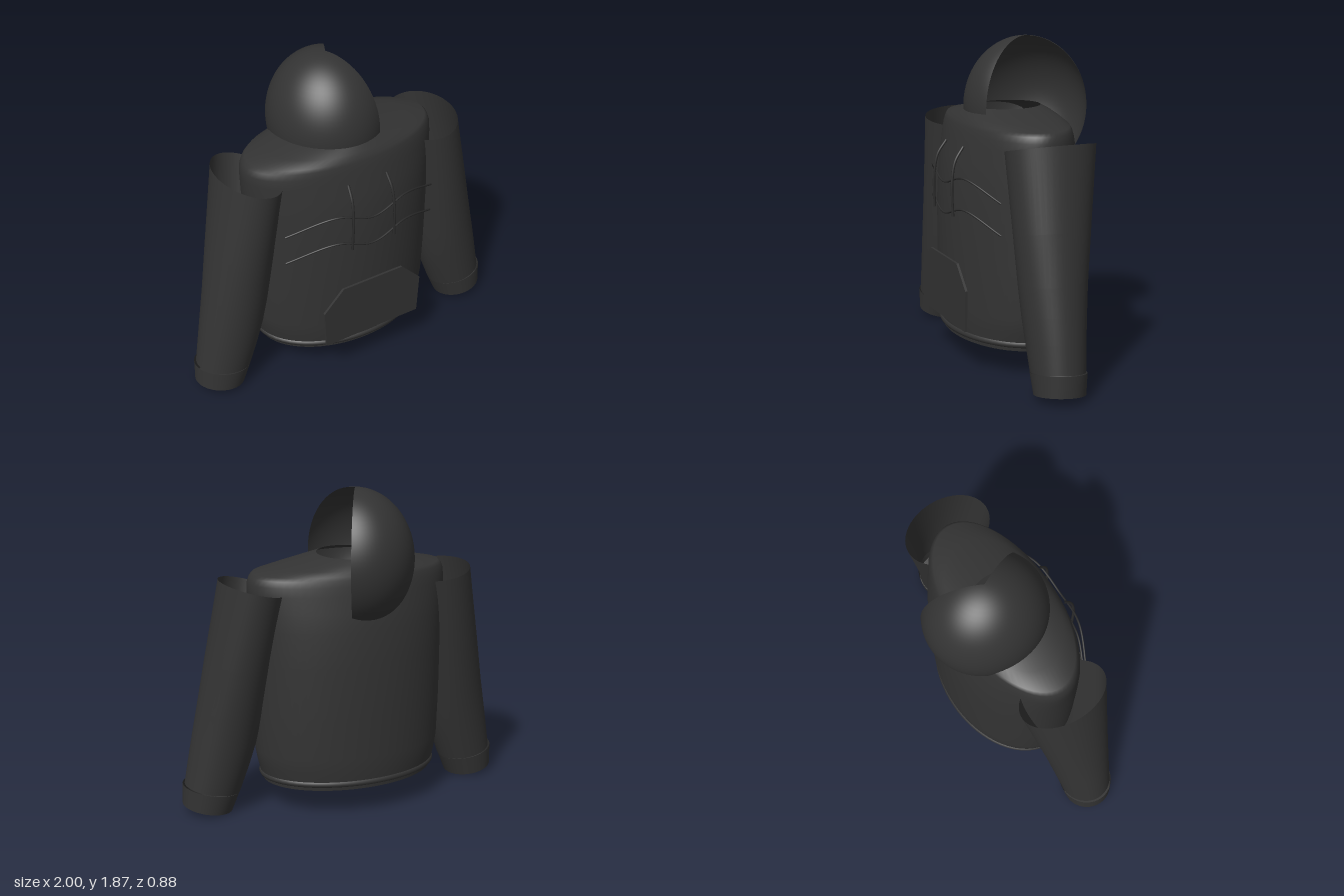
import * as THREE from 'three';

const fabric = new THREE.MeshStandardMaterial({ color: 0x333333, side: THREE.DoubleSide });
fabric.name = 'charcoal fabric';
const trim = new THREE.MeshStandardMaterial({ color: 0x2b2b2b });
trim.name = 'dark trim';

function add(parent, name, geometry, material) {
  const mesh = new THREE.Mesh(geometry, material);
  mesh.name = name;
  parent.add(mesh);
  return mesh;
}

// Skin over elliptical rings, listed bottom to top:
// [cx, cy, cz, radiusX, radiusZ, slopeX, slopeZ]; the slopes tilt a ring.
function loft(rings, sides = 48) {
  const pos = [], index = [];
  rings.forEach(([cx, cy, cz, a, b, sx = 0, sz = 0], r) => {
    for (let i = 0; i < sides; i++) {
      const t = (i / sides) * Math.PI * 2;
      const x = a * Math.cos(t), z = b * Math.sin(t);
      pos.push(cx + x, cy + sx * x + sz * z, cz + z);
      if (r === rings.length - 1) continue;
      const p = r * sides + i, q = r * sides + (i + 1) % sides;
      index.push(p, p + sides, q, q, p + sides, q + sides);
    }
  });
  const g = new THREE.BufferGeometry();
  g.setAttribute('position', new THREE.Float32BufferAttribute(pos, 3));
  g.setIndex(index);
  g.computeVertexNormals();
  return g;
}

function cord(points, radius, closed = false) {
  const curve = new THREE.CatmullRomCurve3(points.map(p => new THREE.Vector3(...p)), closed);
  return new THREE.TubeGeometry(curve, 64, radius, 8, closed);
}

export function createModel() {
  const model = new THREE.Group();
  model.name = 'hoodedJacket';
  const cz = 0.037;

  // Torso, open at the hem and the neck
  const torso = [
    [0.19, 0.53, 0.36], [0.27, 0.55, 0.37], [0.35, 0.565, 0.372], [0.6, 0.575, 0.373],
    [0.9, 0.58, 0.371], [1.1, 0.59, 0.355], [1.2, 0.597, 0.338], [1.3, 0.604, 0.318],
    [1.35, 0.602, 0.307], [1.385, 0.59, 0.297], [1.405, 0.57, 0.288],
    [1.43, 0.44, 0.27], [1.455, 0.3, 0.243], [1.48, 0.172, 0.2],
  ].map(([y, a, b]) => [0, y, cz, a, b]);
  add(model, 'torso', loft(torso, 64), fabric);

  // Hem band with a rolled edge
  add(model, 'hemBand', loft([[0, 0.16, cz, 0.518, 0.35], [0, 0.2, cz, 0.524, 0.354]], 64), fabric);
  const hemPath = Array.from({ length: 24 }, (_, i) => {
    const t = (i / 24) * Math.PI * 2;
    return [0.523 * Math.cos(t), 0.2, cz + 0.353 * Math.sin(t)];
  });
  add(model, 'hemRoll', cord(hemPath, 0.02, true), fabric);

  // Hood: part of an ellipsoid with its opening toward +x
  const arc = Math.PI * 1.32;
  const hood = add(model, 'hood',
    new THREE.SphereGeometry(1, 48, 32, -arc / 2, arc, 0, Math.PI * 0.82), fabric);
  hood.scale.set(0.335, 0.403, 0.36);
  hood.position.set(0, 1.47, -0.08);

  // Sleeves: open at the shoulder, closed at the cuff
  for (const side of [1, -1]) {
    const sleeve = new THREE.Group();
    sleeve.name = side > 0 ? 'leftSleeve' : 'rightSleeve';
    const mirror = rings => rings.map(([x, y, z, a, b, sx, sz]) => [x * side, y, z, a, b, sx * side, sz]);
    add(sleeve, 'arm', loft(mirror([
      [0.823, 0.145, 0.108, 0.162, 0.15, 0.18, 0.08],
      [0.782, 0.3, 0.102, 0.176, 0.163, 0.19, 0.07],
      [0.748, 0.44, 0.096, 0.184, 0.176, 0.2, 0.06],
      [0.715, 0.6, 0.088, 0.186, 0.19, 0.2, 0.04],
      [0.665, 0.88, 0.07, 0.184, 0.217, 0.21, 0.02],
      [0.585, 1.33, 0.042, 0.175, 0.262, 0.23, 0],
    ])), fabric);
    const end = [0.855, 0.028, 0.112, 0.145, 0.143, 0.17, 0.08];
    add(sleeve, 'cuff', loft(mirror([end, [0.83, 0.145, 0.108, 0.167, 0.154, 0.18, 0.08]])), fabric);
    add(sleeve, 'cuffEnd', loft(mirror([[0.855, 0.028, 0.112, 0, 0, 0, 0], end])), fabric);
    model.add(sleeve);
  }

  // Front pocket plate
  const shape = new THREE.Shape([
    [-0.315, 0.26], [0.315, 0.26], [0.328, 0.5], [0.2, 0.63], [-0.2, 0.63], [-0.328, 0.5],
  ].map(p => new THREE.Vector2(...p)));
  add(model, 'pocket', new THREE.ExtrudeGeometry(shape, { depth: 0.014, bevelEnabled: false }), fabric)
    .position.z = 0.425;

  // Wavy chest seams
  for (const [name, y] of [['upperSeam', 1.02], ['lowerSeam', 0.84]]) {
    add(model, name, cord([
      [-0.49, y, 0.29], [-0.23, y + 0.1, 0.403], [0, y + 0.045, 0.43],
      [0.23, y + 0.1, 0.403], [0.49, y, 0.29],
    ], 0.006), trim);
  }

  // Drawstrings
  for (const side of [1, -1]) {
    add(model, side > 0 ? 'leftDrawstring' : 'rightDrawstring', cord([
      [0.125 * side, 1.28, 0.36], [0.131 * side, 1.2, 0.412],
      [0.136 * side, 1.08, 0.434], [0.14 * side, 0.89, 0.432],
    ], 0.008), trim);
  }
  return model;
}
